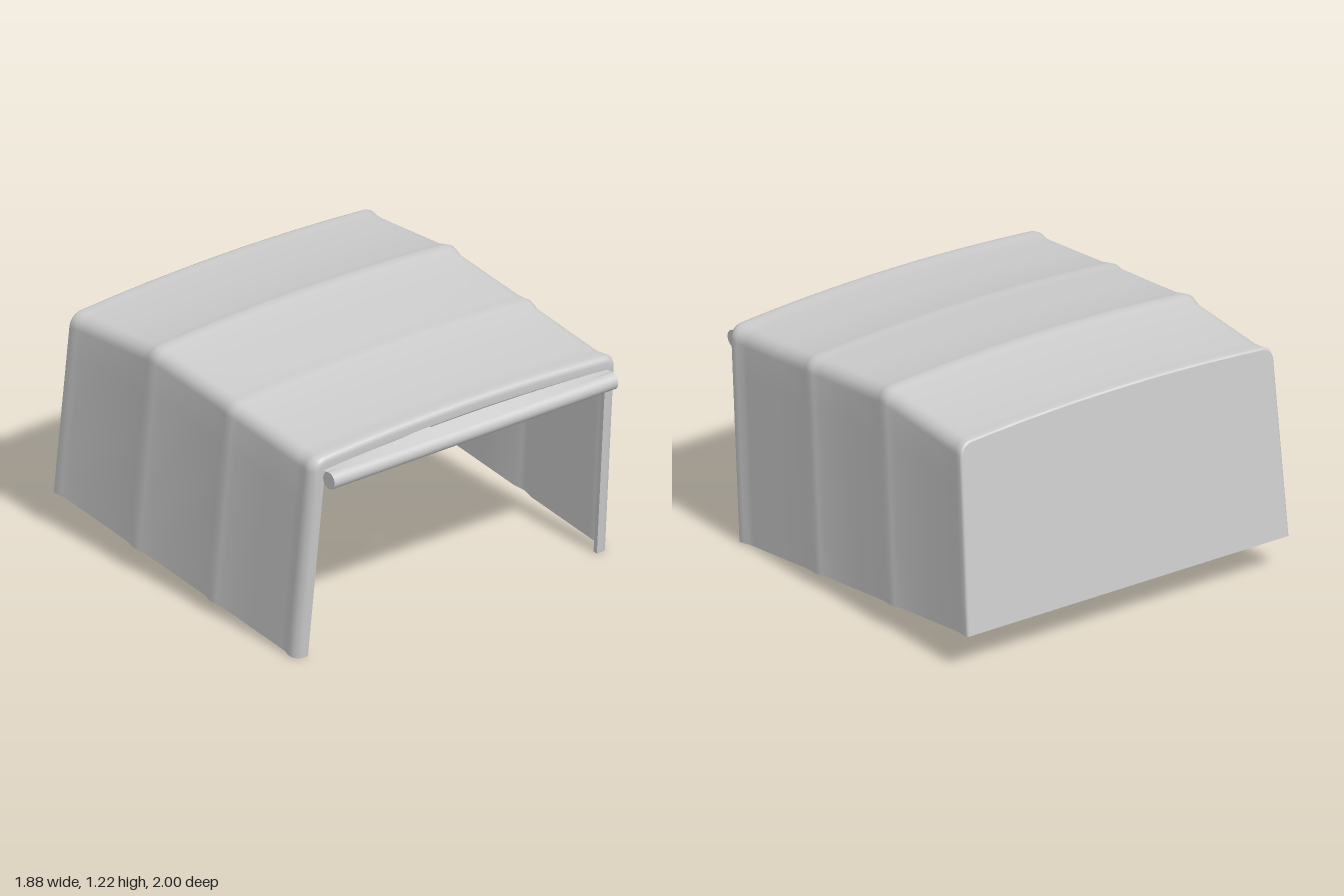
import * as THREE from 'three';
import { toCreasedNormals } from 'three/addons/utils/BufferGeometryUtils.js';

const LEAN = 0.097;                                  // forward lean of every cross-section
const baseY = (z) => (0.82 - z) * 0.0989;            // sloping lower edge

// One arch: up the left side, over the crowned roof, down the right side.
// z: position at the lower edge, top: crown height, bulge: bow rib, inset: distance inward
function section({ z, top, bulge = 0, inset = 0 }) {
  const y0 = baseY(z), r = Math.max(0.02, 0.07 - inset);
  const wTop = 0.903 + bulge - inset, wLow = 0.928 + bulge - inset;
  const eave = top - inset - 0.033;
  const half = [];
  for (let i = 0; i <= 6; i++) {
    const t = i / 6;
    half.push([wLow + (wTop - wLow) * t, y0 + (eave - r - y0) * t]);
  }
  for (let i = 1; i <= 6; i++) {
    const a = (i / 6) * Math.PI * 0.48;
    half.push([wTop - r + r * Math.cos(a), eave - r + r * Math.sin(a)]);
  }
  const xe = wTop - r;
  for (let i = 1; i <= 8; i++) {
    const x = xe * (1 - i / 8);
    half.push([x, eave + 0.033 * (1 - (x / xe) ** 2)]);
  }
  const all = [...half, ...half.slice(0, -1).reverse().map(([x, y]) => [-x, y])];
  return all.map(([x, y]) => new THREE.Vector3(x, y, z + LEAN * (y - y0)));
}

// Skin a row of equal-length cross-sections
function loft(rows, crease) {
  const n = rows[0].length, index = [];
  for (let j = 0; j < rows.length - 1; j++)
    for (let i = 0; i < n - 1; i++) {
      const a = j * n + i, b = a + n;
      index.push(a, b, a + 1, a + 1, b, b + 1);
    }
  const g = new THREE.BufferGeometry().setFromPoints(rows.flat());
  g.setIndex(index);
  return toCreasedNormals(g, crease);
}

export function createModel() {
  const group = new THREE.Group();
  const cloth = new THREE.MeshStandardMaterial({ color: 0xcccccc, side: THREE.DoubleSide });
  cloth.name = 'grey cloth';
  const add = (name, geometry) => {
    const mesh = new THREE.Mesh(geometry, cloth);
    mesh.name = name;
    group.add(mesh);
    return mesh;
  };

  // Front hem: folded edge and rounded lip
  const hem = [
    { z: 0.795, top: 1.1, inset: 0.062 },
    { z: 0.82, top: 1.1, inset: 0.062 },
    { z: 0.82, top: 1.1, inset: 0.028 },
    { z: 0.817, top: 1.1, inset: 0.015 },
    { z: 0.81, top: 1.1, inset: 0.006 },
    { z: 0.798, top: 1.1, bulge: 0.003 },
  ];
  // Roof and sides, swelling over the hidden bows
  const skin = [
    { z: 0.78, top: 1.101, bulge: 0.012 },
    { z: 0.755, top: 1.101, bulge: 0.008 },
    { z: 0.72, top: 1.1 },
    { z: 0.69, top: 1.101 },
    { z: 0.46, top: 1.124 },
    { z: 0.25, top: 1.147 },
    { z: 0.215, top: 1.156, bulge: 0.007 },
    { z: 0.185, top: 1.161, bulge: 0.012 },
    { z: 0.155, top: 1.16, bulge: 0.007 },
    { z: 0.12, top: 1.163 },
    { z: -0.1, top: 1.183 },
    { z: -0.32, top: 1.205 },
    { z: -0.36, top: 1.214, bulge: 0.007 },
    { z: -0.395, top: 1.221, bulge: 0.012 },
    { z: -0.425, top: 1.214, bulge: 0.007 },
    { z: -0.465, top: 1.205 },
    { z: -0.7, top: 1.185 },
    { z: -0.91, top: 1.168 },
    { z: -0.95, top: 1.168, bulge: 0.006 },
    { z: -0.988, top: 1.17, bulge: 0.012 },
    { z: -0.997, top: 1.17, bulge: 0.01, inset: 0.002 },
    { z: -1, top: 1.17, bulge: 0.01, inset: 0.008 },
  ];
  add('canopyCover', loft([...hem, ...skin].map(section), 0.9));

  // Flat back wall closing the last arch
  const edge = section(skin[skin.length - 1]);
  const back = new THREE.BufferGeometry().setFromPoints([
    new THREE.Vector3(0, edge[0].y, edge[0].z), ...edge]);
  back.setIndex(edge.slice(1).flatMap((_, i) => [0, i + 2, i + 1]));
  back.computeVertexNormals();
  add('backWall', back);

  // Rolled-up front curtain
  const roll = add('rolledCurtain', new THREE.CylinderGeometry(0.043, 0.043, 1.7, 24));
  roll.rotation.z = Math.PI / 2;
  roll.position.set(0, 0.963, 0.957);

  // Flap running from the hem over the roll
  const rows = [];
  for (const t of [0, 0.5, 1]) {
    const row = [];
    for (let i = 0; i <= 16; i++) {
      const x = 0.85 - (1.7 * i) / 16;
      const hemY = 1.003 + 0.027 * (1 - (x / 0.85) ** 2);
      row.push(new THREE.Vector3(x, hemY + (1.004 - hemY) * t, 0.97 - 0.055 * (1 - t)));
    }
    rows.push(row);
  }
  add('curtainFlap', loft(rows.reverse(), 0.9));

  return group;
}
